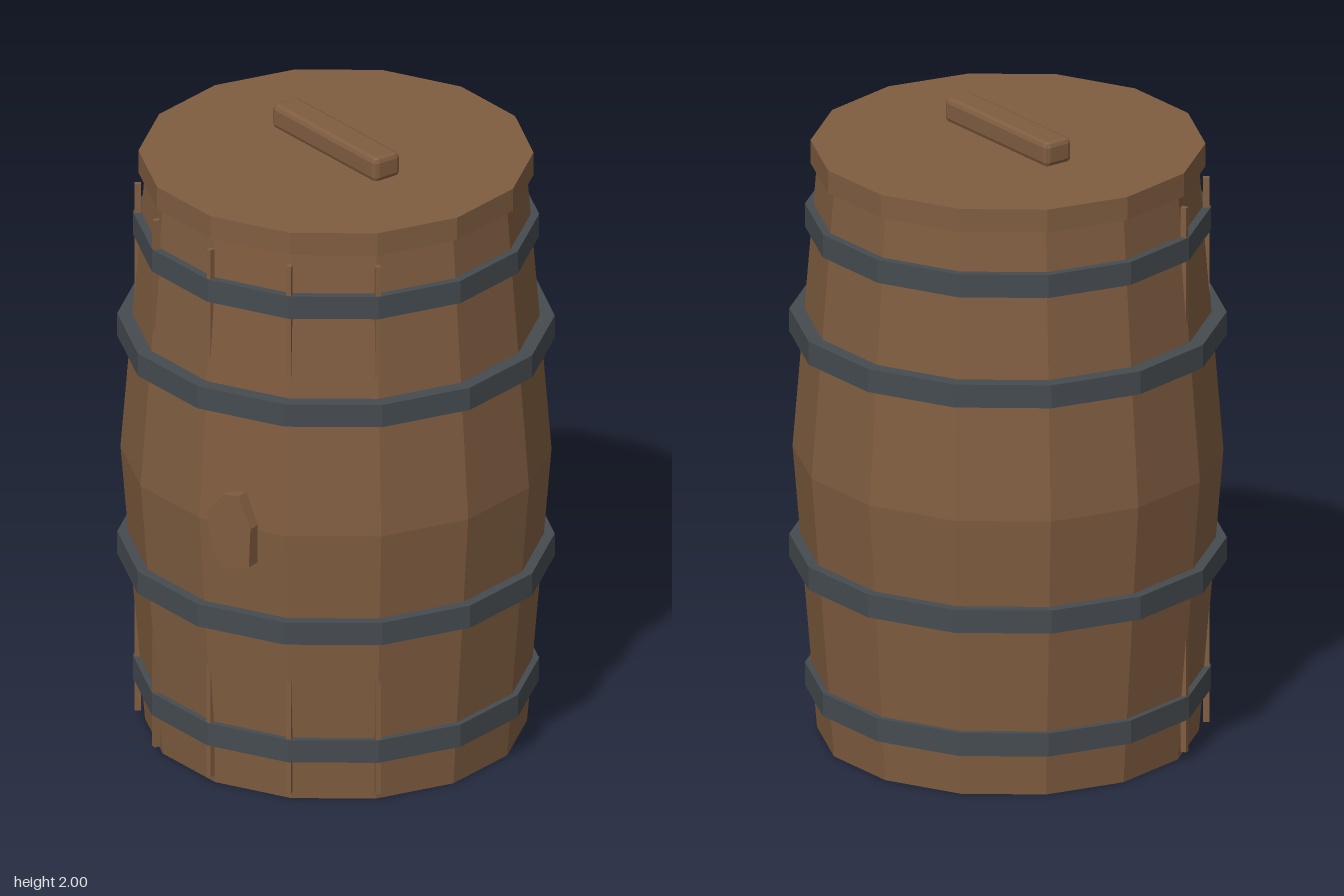
import * as THREE from 'three';
import { RoundedBoxGeometry } from 'three/addons/geometries/RoundedBoxGeometry.js';

const SIDES = 14;

export function createModel() {
  const wood = new THREE.MeshStandardMaterial({ color: 0x805d40, flatShading: true });
  wood.name = 'wood';
  const iron = new THREE.MeshStandardMaterial({ color: 0x454b50, flatShading: true });
  iron.name = 'iron';

  const barrel = new THREE.Group();
  barrel.name = 'barrel';
  const add = (name, geometry, material, x = 0, y = 0, z = 0) => {
    const mesh = new THREE.Mesh(geometry, material);
    mesh.name = name;
    mesh.position.set(x, y, z);
    barrel.add(mesh);
    return mesh;
  };
  // Fourteen-sided drum with a corner on the x axis
  const drum = (top, bottom, height, open = false) =>
    new THREE.CylinderGeometry(top, bottom, height, SIDES, 1, open, Math.PI / 2);

  // Bulging body: a lower and an upper half meeting at the widest ring
  const profile = [[0, 0], [0.585, 0], [0.66, 0.92], [0.585, 1.85], [0, 1.85]];
  const body = new THREE.LatheGeometry(
    profile.map(([r, y]) => new THREE.Vector2(r, y)), SIDES, Math.PI / 2);
  add('body', body, wood);

  // Lid
  add('lid', drum(0.605, 0.605, 0.075), wood, 0, 1.8825, 0);

  // Chamfered lid handle
  add('handle', new RoundedBoxGeometry(0.52, 0.08, 0.1, 1, 0.016), wood, 0, 1.96, 0);

  // Iron hoops: [radius, centre height]
  for (const [r, y] of [[0.622, 0.175], [0.67, 0.595], [0.67, 1.332], [0.622, 1.675]]) {
    add('hoop', drum(r, r, 0.075), iron, 0, y, 0);
  }

  // Straight battens along the front corners, sunk into the bulge at mid height
  for (let i = 1; i <= 6; i++) {
    const a = (i / SIDES) * Math.PI * 2;
    const batten = add('batten', new THREE.BoxGeometry(0.016, 1.78, 0.02), wood,
      Math.cos(a) * 0.607, 0.92, Math.sin(a) * 0.607);
    batten.rotation.y = Math.PI / 2 - a;
  }

  // Irregular wood knot on the front
  const outline = [[-0.085, 0.05], [-0.022, 0.12], [0.034, 0.13], [0.078, 0.03],
    [0.072, -0.1], [-0.03, -0.128], [-0.074, -0.044]];
  const knotShape = new THREE.Shape(outline.map(([x, y]) => new THREE.Vector2(x, y)));
  const knot = add('knot', new THREE.ExtrudeGeometry(knotShape, { depth: 0.05, bevelEnabled: false }),
    wood, 0.248, 0.907, 0.567);
  knot.rotation.y = 0.28;

  return barrel;
}
